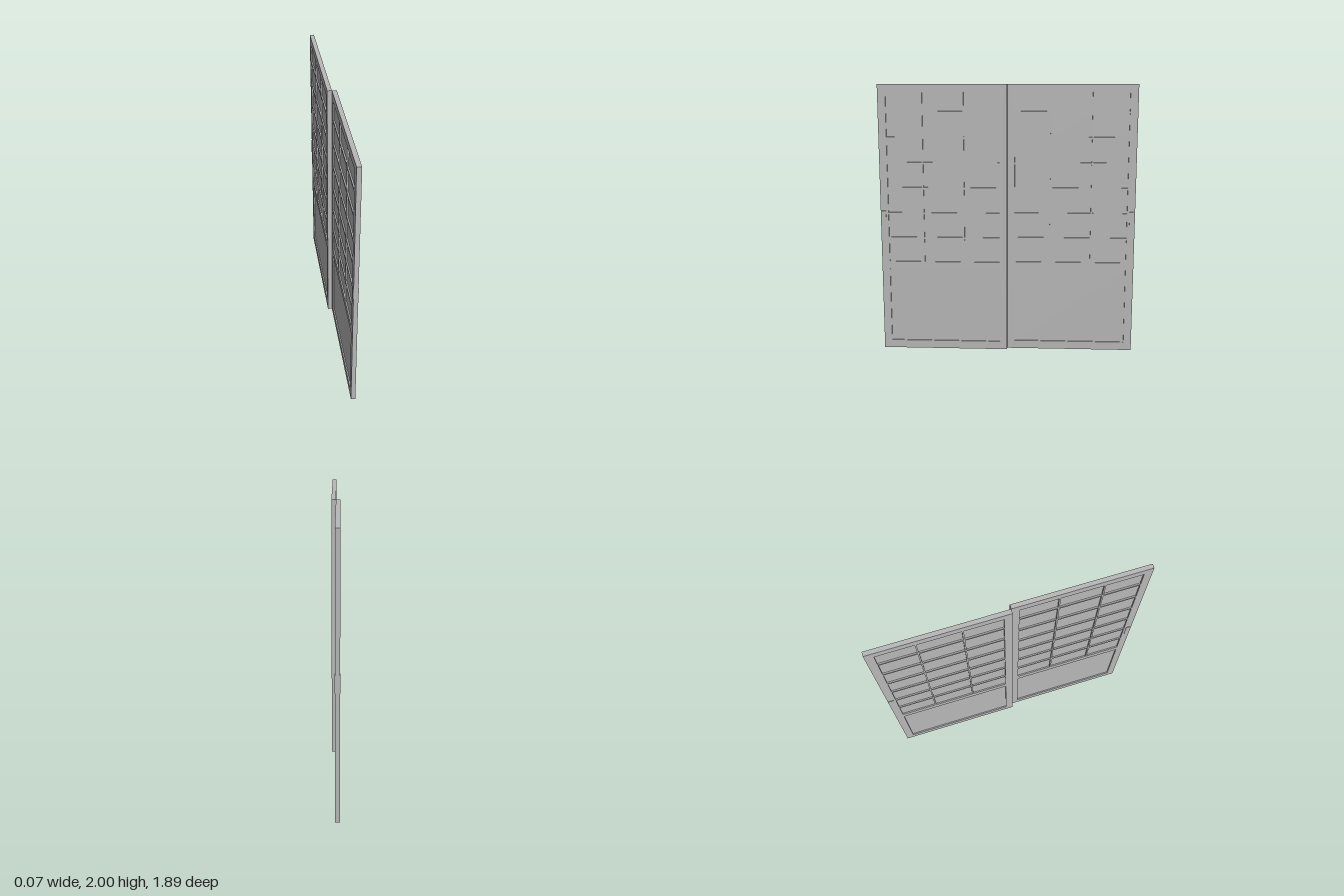
import * as THREE from 'three';

const WIDTH = 0.945, HEIGHT = 2, THICK = 0.032, PANE = 0.012;
const COLS = [[0.055, 0.317], [0.328, 0.619], [0.63, 0.887]];
const ROWS = [[0.683, 0.858], [0.872, 1.043], [1.058, 1.23], [1.248, 1.418],
  [1.434, 1.604], [1.62, 1.79], [1.806, 1.944]];

function rect(PathType, x0, x1, y0, y1) {
  const p = new PathType();
  p.moveTo(x0, y0);
  p.lineTo(x1, y0);
  p.lineTo(x1, y1);
  p.lineTo(x0, y1);
  p.closePath();
  return p;
}

function box(name, material, size, position) {
  const mesh = new THREE.Mesh(new THREE.BoxGeometry(...size), material);
  mesh.name = name;
  mesh.position.set(...position);
  return mesh;
}

function makeDoor(material) {
  const door = new THREE.Group();

  // Frame with glazing bars: one board pierced by the window grid and lower panel
  const shape = rect(THREE.Shape, 0, WIDTH, 0, HEIGHT);
  for (const [z0, z1] of COLS)
    for (const [y0, y1] of ROWS) shape.holes.push(rect(THREE.Path, z0, z1, y0, y1));
  shape.holes.push(rect(THREE.Path, 0.055, 0.887, 0.061, 0.625));
  const geometry = new THREE.ExtrudeGeometry(shape, { depth: THICK, bevelEnabled: false });
  geometry.rotateY(-Math.PI / 2).translate(THICK, 0, 0);
  const frame = new THREE.Mesh(geometry, material);
  frame.name = 'frame';
  door.add(frame);

  // Recessed panes
  for (const [z0, z1] of COLS)
    for (const [y0, y1] of ROWS)
      door.add(box('windowPane', material, [PANE, y1 - y0, z1 - z0],
        [THICK / 2, (y0 + y1) / 2, (z0 + z1) / 2]));
  door.add(box('lowerPanel', material, [PANE, 0.564, 0.832], [THICK / 2, 0.343, 0.471]));

  // Flat pull plates on both faces, near the outer edge
  for (const x of [-0.001, THICK + 0.001])
    door.add(box('pullPlate', material, [0.004, 0.12, 0.035], [x, 1.01, 0.922]));
  return door;
}

export function createModel() {
  const grey = new THREE.MeshStandardMaterial({ color: 0xb8b8b8 });
  grey.name = 'paintGrey';
  const model = new THREE.Group();
  model.name = 'slidingDoors';

  // The second door is the first turned half round
  ['frontDoor', 'rearDoor'].forEach((name, i) => {
    const door = makeDoor(grey);
    door.name = name;
    door.rotation.y = i * Math.PI;
    model.add(door);
  });
  return model;
}
